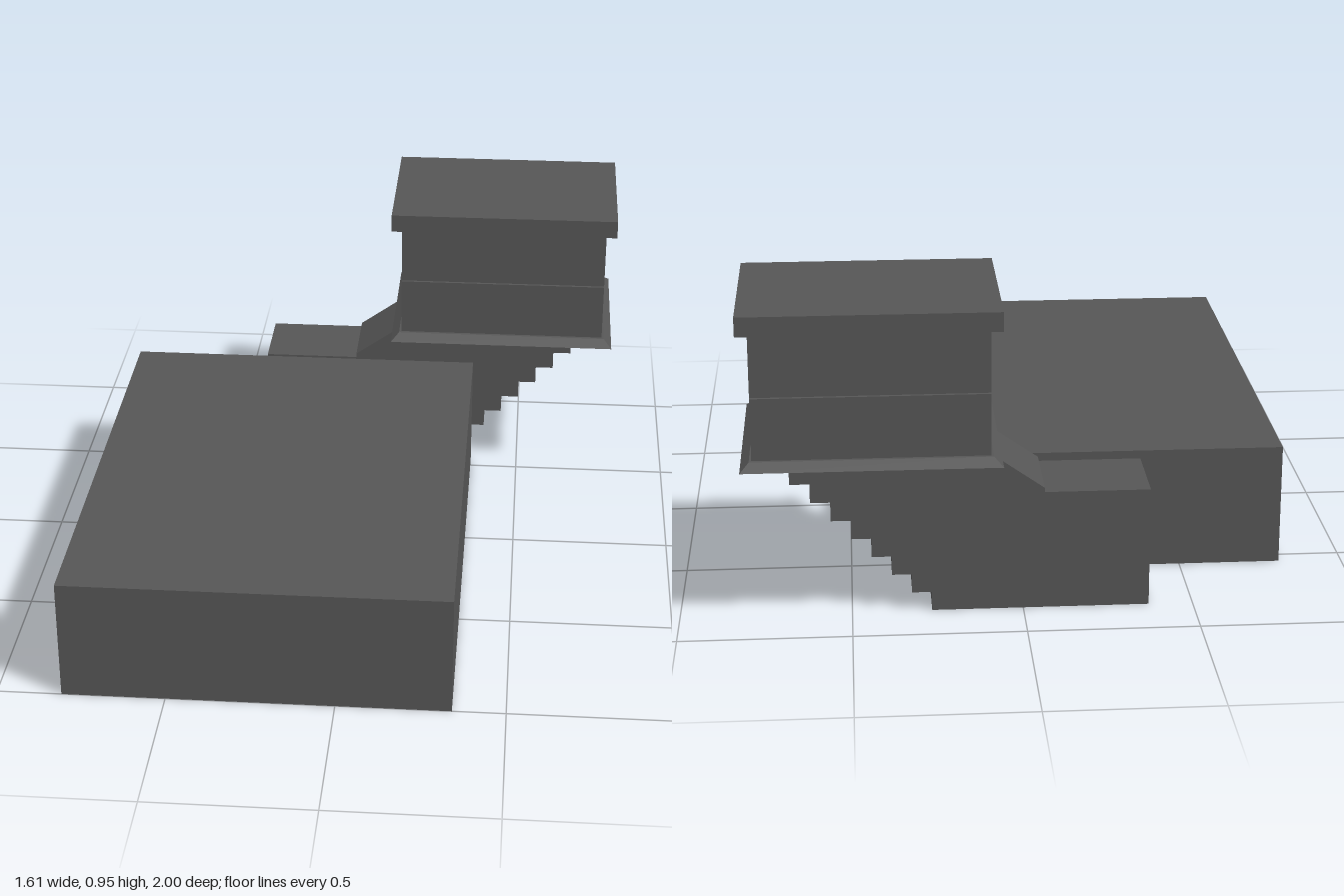
import * as THREE from 'three';

const material = new THREE.MeshStandardMaterial({ color: 0x555555, flatShading: true });

function add(parent, name, geometry) {
  const mesh = new THREE.Mesh(geometry, material);
  mesh.name = name;
  parent.add(mesh);
  return mesh;
}

// Box given by its lower and upper limits on each axis
function block(parent, name, [x0, x1], [y0, y1], [z0, z1]) {
  const mesh = add(parent, name, new THREE.BoxGeometry(x1 - x0, y1 - y0, z1 - z0));
  mesh.position.set((x0 + x1) / 2, (y0 + y1) / 2, (z0 + z1) / 2);
  return mesh;
}

// Side profile of the passage: stepped underside, sloping roof, flat lower end
function passageShape() {
  const run = 0.058, rise = 0.0577, startX = 0.267, topY = 0.506;
  const points = [[-0.37, 0], [startX, 0]];
  for (let i = 0; i < 9; i++) {
    const x = startX + i * run;
    const y = Math.min((i + 1) * rise, topY);
    points.push([x, y]);
    if (i < 8) points.push([x + run, y]);
  }
  points.push([0.124, topY], [-0.062, 0.375], [-0.062, 0.362], [-0.37, 0.362]);
  return new THREE.Shape(points.map(([x, y]) => new THREE.Vector2(x, y)));
}

function createBooth() {
  const booth = new THREE.Group();
  booth.name = 'entranceBooth';
  const cx = 0.436, cz = -0.709;
  const floorY = 0.526, ceilingY = 0.898, seamY = 0.711;
  const tiers = [[floorY, seamY - 0.002], [seamY + 0.002, ceilingY]];

  // Splayed base: upper corners pulled in to meet the walls
  const base = new THREE.BoxGeometry(0.738, 0.022, 0.58);
  const p = base.attributes.position;
  for (let i = 0; i < p.count; i++) {
    if (p.getY(i) > 0) p.setXYZ(i, p.getX(i) * 0.93, p.getY(i), p.getZ(i) * 0.89);
  }
  base.computeVertexNormals();
  add(booth, 'splayedBase', base).position.set(cx, 0.515, cz);

  block(booth, 'roofSlab', [0.066, 0.806], [0.896, 0.953], [-0.977, -0.441]);

  // Long walls: a core faced with two stacked panels and a thin seam
  for (const side of [1, -1]) {
    const zSpan = (a, b) => [cz + side * a, cz + side * b].sort((m, n) => m - n);
    block(booth, 'longWallCore', [0.108, 0.764], [floorY, ceilingY], zSpan(0.184, 0.238));
    for (const y of tiers) {
      block(booth, 'longWallPanel', [0.1, 0.772], y, zSpan(0.237, 0.248));
      // Corner posts, set just behind the panel ends
      for (const x of [[0.104, 0.13], [0.742, 0.768]]) {
        block(booth, 'cornerPost', x, y, zSpan(0.18, 0.24));
      }
    }
    // Deep grooves between the posts and the end walls
    for (const x of [[0.13, 0.14], [0.732, 0.742]]) {
      block(booth, 'cornerGroove', x, [floorY, ceilingY], zSpan(0.155, 0.185));
    }
  }

  // Closed end wall with a seam on its inside face
  block(booth, 'closedEndWall', [0.112, 0.135], [floorY, ceilingY], [cz - 0.16, cz + 0.16]);
  for (const y of tiers) {
    block(booth, 'innerEndPanel', [0.134, 0.144], y, [cz - 0.183, cz + 0.183]);
  }

  // Open end wall with the doorway cut out
  const wall = new THREE.Shape([
    [-0.16, floorY], [-0.086, floorY], [-0.086, 0.835], [0.086, 0.835],
    [0.086, floorY], [0.16, floorY], [0.16, ceilingY], [-0.16, ceilingY],
  ].map(([a, b]) => new THREE.Vector2(a, b)));
  const doorWall = add(booth, 'doorwayWall',
    new THREE.ExtrudeGeometry(wall, { depth: 0.03, bevelEnabled: false }));
  doorWall.rotation.y = Math.PI / 2;
  doorWall.position.set(0.73, 0, cz);
  return booth;
}

export function createModel() {
  const model = new THREE.Group();
  model.name = 'bunker';

  // Main chamber and the short link to the stair passage
  block(model, 'mainChamber', [-0.808, 0.342], [0, 0.373], [-0.549, 1]);
  block(model, 'connectingDoorway', [-0.34, -0.145], [0, 0.3], [-0.59, -0.545]);

  // Stair passage
  const passage = add(model, 'stairPassage',
    new THREE.ExtrudeGeometry(passageShape(), { depth: 0.251, bevelEnabled: false }));
  passage.position.z = -0.836;

  model.add(createBooth());
  return model;
}
